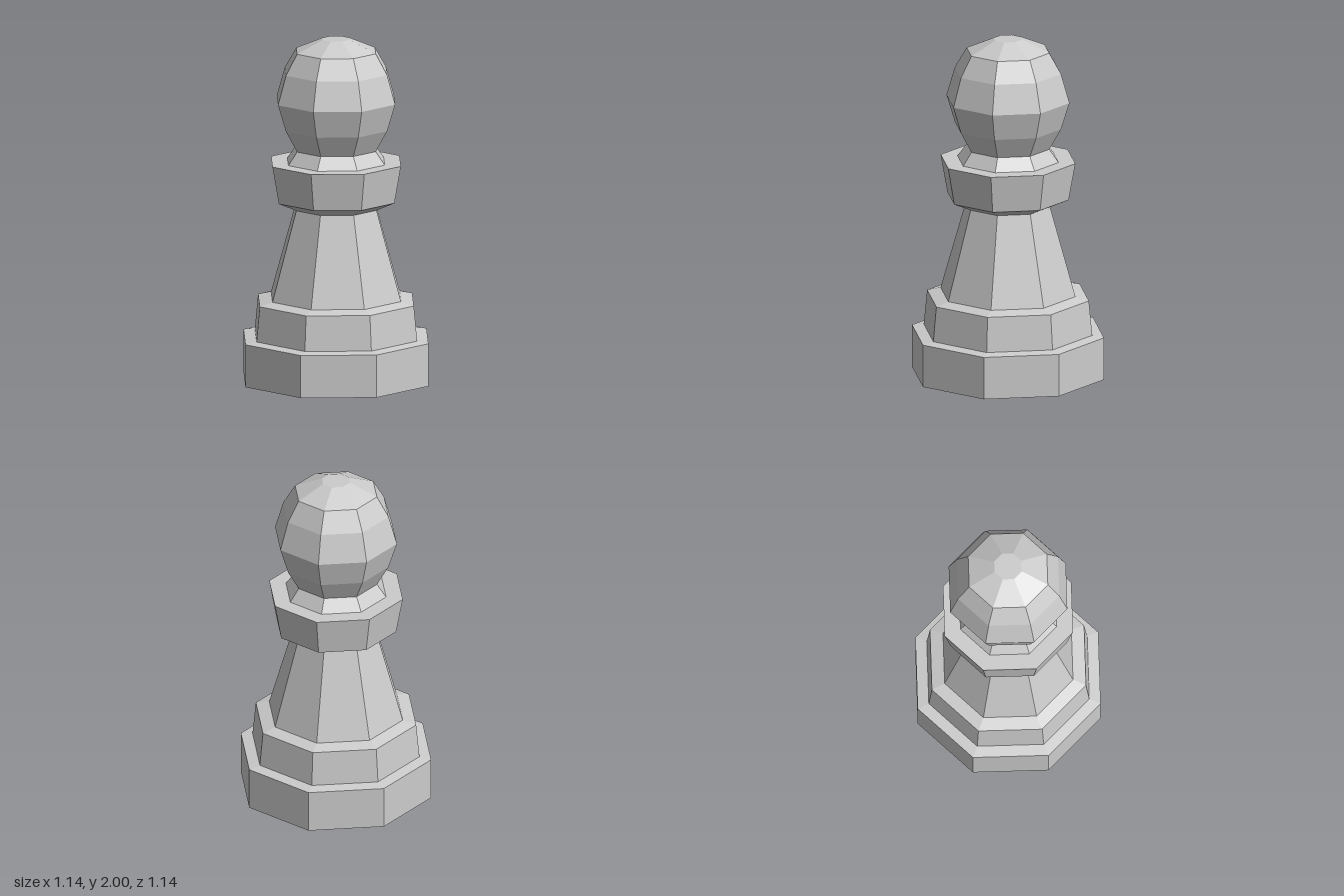
import * as THREE from 'three';

const SIDES = 8;

// Each part is a stretch of the profile [radius, height], from bottom to top;
// neighbouring parts share their end ring, so the surface stays closed.
const PARTS = {
  basePlinth: [[0, 0], [0.57, 0], [0.57, 0.25], [0.5, 0.26]],
  baseStep: [[0.5, 0.26], [0.48, 0.465], [0.4, 0.485]],
  body: [[0.4, 0.485], [0.25, 1.01]],
  collar: [[0.25, 1.01], [0.36, 1.06], [0.4, 1.28], [0.3, 1.28]],
  neck: [[0.3, 1.28], [0.245, 1.355]],
  head: [[0.245, 1.355], [0.315, 1.48], [0.365, 1.64], [0.315, 1.81],
    [0.245, 1.93], [0.085, 2], [0, 2]],
};

export function createModel() {
  const group = new THREE.Group();
  group.name = 'chessPawn';
  const material = new THREE.MeshStandardMaterial({ color: 0xcccccc, flatShading: true });

  for (const [name, profile] of Object.entries(PARTS)) {
    const points = profile.map(([r, y]) => new THREE.Vector2(r, y));
    const mesh = new THREE.Mesh(new THREE.LatheGeometry(points, SIDES), material);
    mesh.name = name;
    group.add(mesh);
  }
  return group;
}
